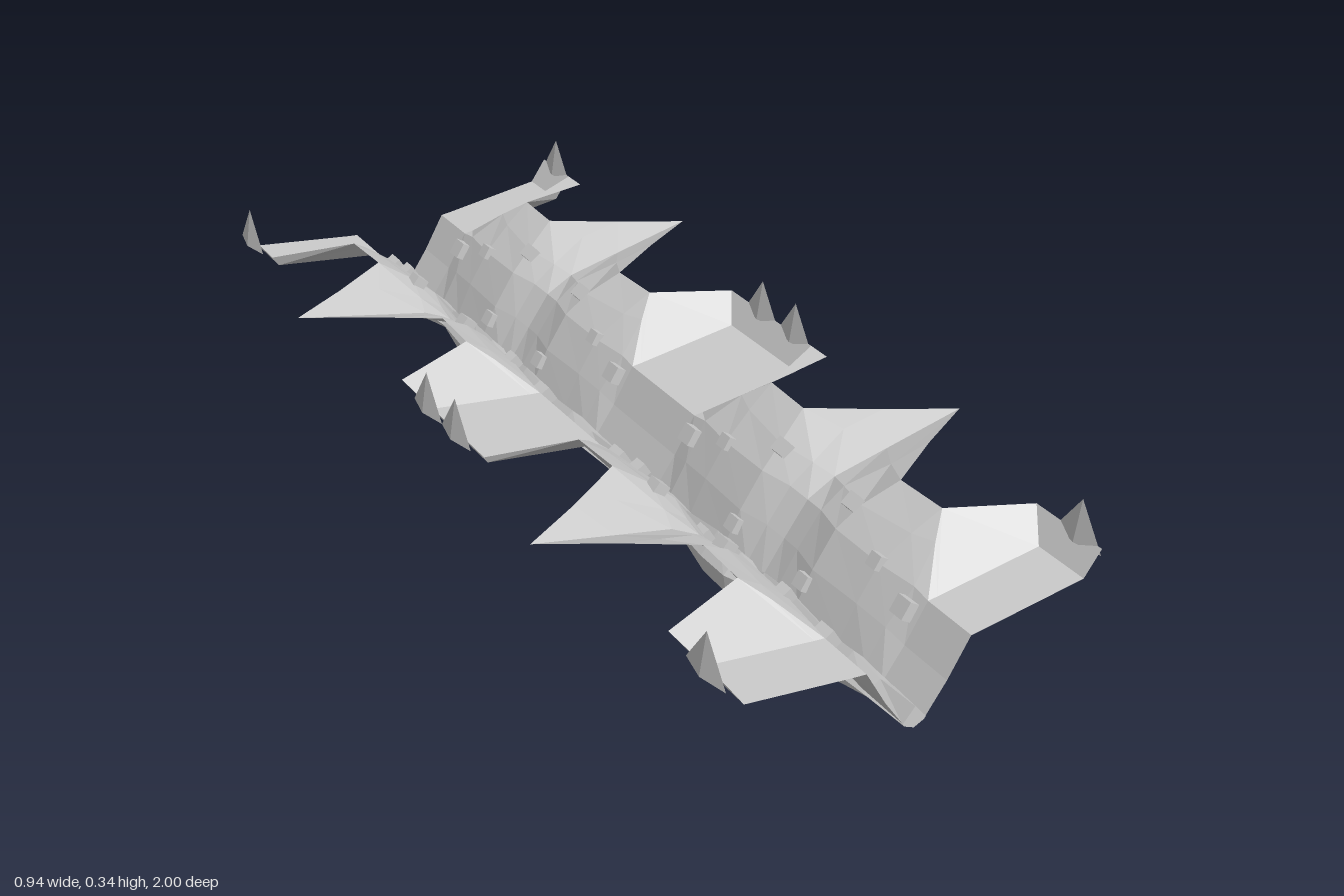
import * as THREE from 'three';

const material = new THREE.MeshStandardMaterial({ color: 0xcccccc, flatShading: true, side: THREE.DoubleSide });

// Skin a surface through rows of [x, y, z] points
function loft(name, rows) {
  const pos = [];
  for (let i = 0; i < rows.length - 1; i++) {
    for (let j = 0; j < rows[i].length - 1; j++) {
      const a = rows[i][j], b = rows[i][j + 1], c = rows[i + 1][j + 1], d = rows[i + 1][j];
      pos.push(...a, ...b, ...c, ...a, ...c, ...d);
    }
  }
  const geo = new THREE.BufferGeometry();
  geo.setAttribute('position', new THREE.Float32BufferAttribute(pos, 3));
  geo.computeVertexNormals();
  const mesh = new THREE.Mesh(geo, material);
  mesh.name = name;
  return mesh;
}

// Repeat half of a section's rows in reverse about z = 0.5
function mirrorRows(rows) {
  const back = rows.slice(0, -1).reverse();
  return rows.concat(back.map(r => r.map(([x, y, z]) => [x, y, 1 - z])));
}

// Wall cross-sections from the keel outwards, end wing to central spike
const wing = z => [[0.02, 0.045, z], [0.065, 0.11, z], [0.11, 0.188, z], [0.13, 0.19, z], [0.355, 0.22, z], [0.39, 0.27, z]];
const wallRows = mirrorRows([
  wing(1),
  wing(0.88),
  [[0.02, 0.05, 0.83], [0.06, 0.12, 0.83], [0.11, 0.195, 0.84], [0.175, 0.25, 0.81], [0.218, 0.285, 0.77], [0.39, 0.27, 0.825]],
  [[0.02, 0.055, 0.75], [0.055, 0.125, 0.75], [0.1, 0.195, 0.75], [0.16, 0.245, 0.76], [0.218, 0.285, 0.77], [0.218, 0.285, 0.77]],
  [[0.018, 0.06, 0.62], [0.05, 0.125, 0.62], [0.098, 0.198, 0.62], [0.145, 0.24, 0.63], [0.213, 0.285, 0.655], [0.213, 0.285, 0.655]],
  [[0.02, 0.05, 0.55], [0.065, 0.125, 0.55], [0.115, 0.195, 0.55], [0.165, 0.232, 0.55], [0.252, 0.266, 0.575], [0.342, 0.285, 0.5725]],
  [[0.02, 0.045, 0.5], [0.07, 0.12, 0.5], [0.12, 0.19, 0.5], [0.18, 0.222, 0.5], [0.3, 0.248, 0.5], [0.47, 0.285, 0.5]],
]);

// Keel rings: z, half width, bottom, top
const keelRing = ([z, w, low, high]) => [[0, high, z], [w, 0.05, z], [w * 0.85, low + 0.01, z], [0, low, z],
  [-w * 0.85, low + 0.01, z], [-w, 0.05, z], [0, high, z]];
const keelRows = mirrorRows([
  [1, 0.025, 0.035, 0.08], [0.9, 0.03, 0.035, 0.075], [0.82, 0.036, 0.02, 0.085], [0.73, 0.026, 0.033, 0.08],
  [0.62, 0.038, 0.005, 0.095], [0.54, 0.038, 0, 0.09], [0.5, 0.024, 0.038, 0.075],
].map(keelRing));

// Fastening blocks on the walls: x, y, z, size
const blocks = [[0.083, 0.165, 0.85, 0.036], [0.1, 0.197, 0.745, 0.028], [0.036, 0.1, 0.615, 0.03], [0.14, 0.238, 0.615, 0.03]];

function createSide(sign) {
  const side = new THREE.Group();
  side.name = sign > 0 ? 'leftSide' : 'rightSide';
  side.add(loft('foldedWall', wallRows.map(r => r.map(([x, y, z]) => [sign * x, y, z]))));

  for (const flip of [false, true]) {
    const place = z => (flip ? 1 - z : z);

    // Upright fin at the wing tip
    const fin = new THREE.Mesh(new THREE.ConeGeometry(1, 0.085, 4), material);
    fin.name = 'wingFin';
    fin.scale.set(0.013, 1, 0.06);
    fin.position.set(sign * 0.39, 0.2975, place(0.94));
    side.add(fin);

    for (const [x, y, z, s] of blocks) {
      const block = new THREE.Mesh(new THREE.BoxGeometry(s, 0.024, s), material);
      block.name = 'wallBlock';
      block.position.set(sign * x, y, place(z));
      block.rotation.z = sign * (x > 0.12 ? 0.72 : 1.02);
      side.add(block);
    }
  }
  return side;
}

function createSection(start) {
  const section = new THREE.Group();
  section.name = start < 0 ? 'backSection' : 'frontSection';
  section.add(createSide(1), createSide(-1), loft('keel', keelRows));

  // End caps of the keel
  for (const row of [keelRows[0], keelRows[keelRows.length - 1]]) {
    const centre = row.map(() => [0, 0.05, row[0][2]]);
    section.add(loft('keelCap', [row, centre]));
  }
  section.position.z = start;
  return section;
}

export function createModel() {
  const model = new THREE.Group();
  model.name = 'spikedTrough';
  model.add(createSection(-1), createSection(0));
  return model;
}
